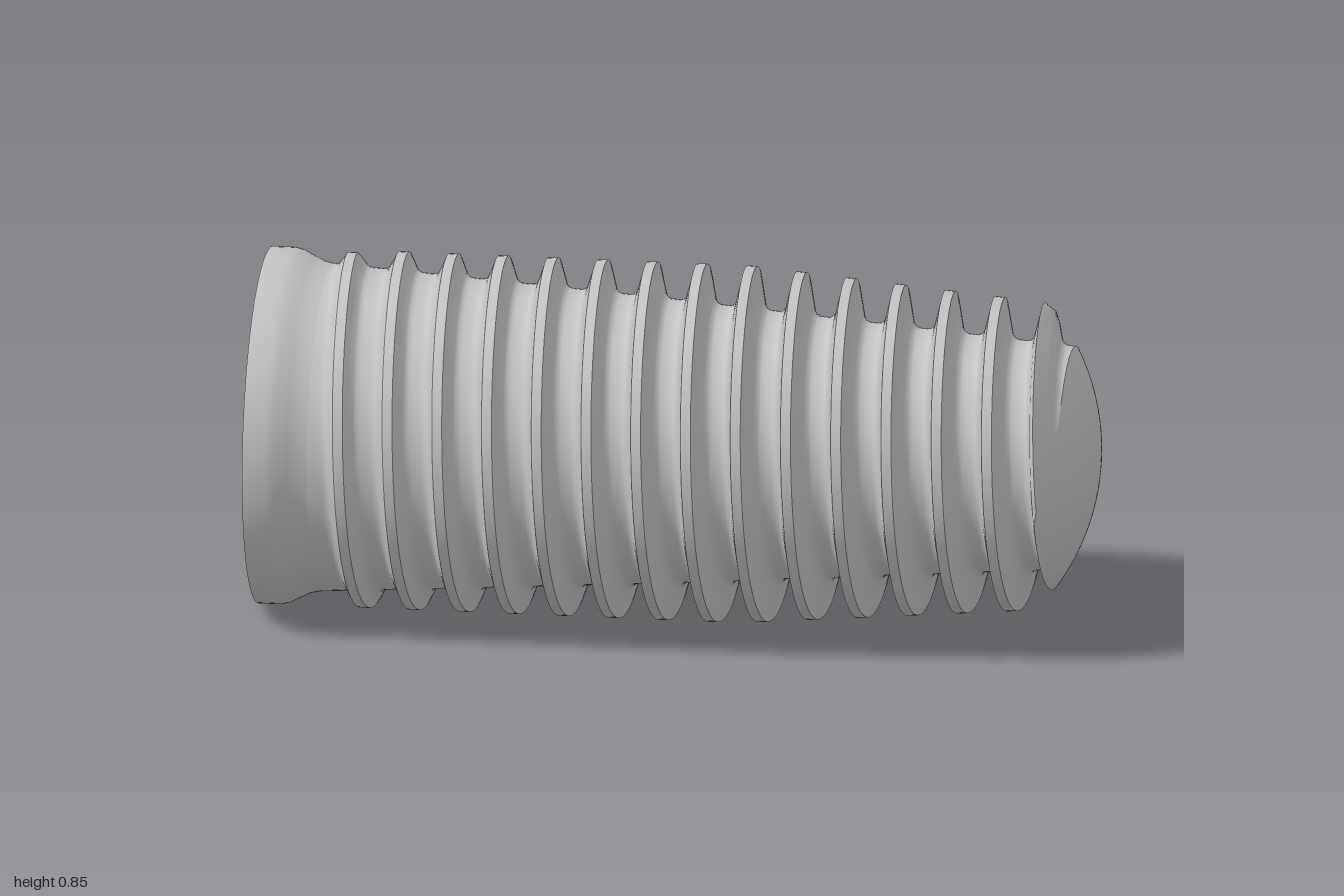
import * as THREE from 'three';
import { toCreasedNormals } from 'three/addons/utils/BufferGeometryUtils.js';

const N = 120;            // segments around the axis
const AXIS_Y = 0.425;     // height of the axis, which runs along x
const PITCH = 0.1192;
const FIRST_CREST = -0.798;
const BODY_START = -0.85;
const DOME_R = 0.55;
const TAU = Math.PI * 2;
const { lerp, clamp, smoothstep } = THREE.MathUtils;

// Skin a surface through rows of points: at(row, angle) returns [x, radius]
function skin(rowCount, at) {
  const pos = [], index = [];
  for (let i = 0; i <= N; i++) {
    const a = (i / N) * TAU, b = ((i % N) / N) * TAU;
    for (let j = 0; j < rowCount; j++) {
      const [x, r] = at(j, a);
      pos.push(x, AXIS_Y + r * Math.cos(b), r * Math.sin(b));
    }
  }
  for (let i = 0; i < N; i++) {
    for (let j = 0; j < rowCount - 1; j++) {
      const p = i * rowCount + j, q = p + rowCount;
      index.push(p, q, p + 1, q, q + 1, p + 1);
    }
  }
  const g = new THREE.BufferGeometry();
  g.setAttribute('position', new THREE.Float32BufferAttribute(pos, 3));
  g.setIndex(index);
  // enlarged while creasing so that fine steps are not merged
  g.scale(100, 100, 100);
  const creased = toCreasedNormals(g, 0.6);
  creased.scale(0.01, 0.01, 0.01);
  return creased;
}

// Tapered core and crest radii, and the dome that trims the tip
const coreR = x => (x < -0.05 ? lerp(0.387, 0.34, (x + 0.8) / 0.75) : lerp(0.34, 0.268, (x + 0.05) / 0.95));
const crestR = x => 0.425 - 0.06 * Math.max(0, (x - 0.15) / 0.72);
const domeR = x => Math.sqrt(Math.max(0, DOME_R ** 2 - Math.max(0, x - 1 + DOME_R) ** 2));
const domeX = r => 1 - DOME_R + Math.sqrt(DOME_R ** 2 - r * r);

// Thread height (0..1) at a distance from the crest, in pitches
const STEPS = [[0.1, 1], [0.27, 0.14], [0.33, 0.04], [0.4, 0]];
function threadHeight(s) {
  const d = Math.abs(s);
  if (d <= 0.1) return 1;
  for (let k = 1; k < STEPS.length; k++) {
    const [d0, h0] = STEPS[k - 1], [d1, h1] = STEPS[k];
    if (d <= d1) return lerp(h0, h1, (d - d0) / (d1 - d0));
  }
  return 0;
}

function threadR(x, a) {
  const n = (x - FIRST_CREST) / PITCH - a / TAU;
  const turn = Math.round(n);
  const fadeIn = smoothstep(turn + a / TAU, -0.15, 0);
  return coreR(x) + (crestR(x) - coreR(x)) * threadHeight(n - turn) * fadeIn;
}
const bodyR = (x, a) => Math.min(threadR(x, a), domeR(x));

// Where the threaded body runs into the domed tip
function bodyEnd(a) {
  let x = 0.97;
  while (x > 0.84 && threadR(x, a) > domeR(x)) x -= 0.00002;
  return x;
}

export function createModel() {
  const group = new THREE.Group();
  const metal = new THREE.MeshStandardMaterial({ color: 0xc4c4c4 });
  metal.name = 'metal grey';
  const add = (name, geometry) => {
    const mesh = new THREE.Mesh(geometry, metal);
    mesh.name = name;
    group.add(mesh);
  };

  // Drive socket: lobed bore, hexagon, bevelled round mouth
  const lobes = a => 0.135 + 0.025 * Math.cos(6 * a);
  const hex = a => {
    const sector = Math.PI / 3;
    const m = ((a + 1e-9) % sector) - sector / 2;
    return 0.178 / Math.cos(m);
  };
  const socket = [
    [-0.4, () => 0], [-0.4, lobes], [-0.82, lobes], [-0.82, hex],
    [-0.94, hex], [-0.95, () => 0.211], [-1, () => 0.225],
  ];
  add('driveSocket', skin(socket.length, (j, a) => [socket[j][0], socket[j][1](a)]));

  // Flat end face and flared collar
  const collar = [
    [-1, 0.225], [-1, 0.425], [-0.945, 0.425], [-0.925, 0.42],
    [-0.895, 0.404], [-0.875, 0.395], [BODY_START, coreR(BODY_START)],
  ];
  add('collar', skin(collar.length, j => collar[j]));

  // Threaded body: rows follow the helix so the crests stay crisp
  const stations = [-0.5, -0.4, -0.33, -0.27, -0.18, -0.1, 0.1, 0.18, 0.27, 0.33, 0.4];
  const ends = Array.from({ length: N + 1 }, (_, i) => bodyEnd((i / N) * TAU));
  // let the run-out groove fade gradually into the dome
  for (let i = 1; i <= N; i++) ends[i] = Math.max(ends[i], ends[i - 1] - 0.003);
  const endAt = a => ends[Math.round((a / TAU) * N)];
  add('threadedBody', skin(stations.length * 18, (j, a) => {
    const turn = Math.floor(j / stations.length) - 2;
    const s = stations[j % stations.length];
    const x = clamp(FIRST_CREST + PITCH * (turn + s + a / TAU), BODY_START, endAt(a));
    return [x, bodyR(x, a)];
  }));

  // Domed tip, starting where the thread runs out
  const DOME_ROWS = 14;
  add('domedTip', skin(DOME_ROWS + 1, (j, a) => {
    const x = endAt(a);
    const edge = bodyR(x, a);
    const r = edge * (1 - j / DOME_ROWS);
    return [j === 0 ? x : domeX(r), r];
  }));

  return group;
}
